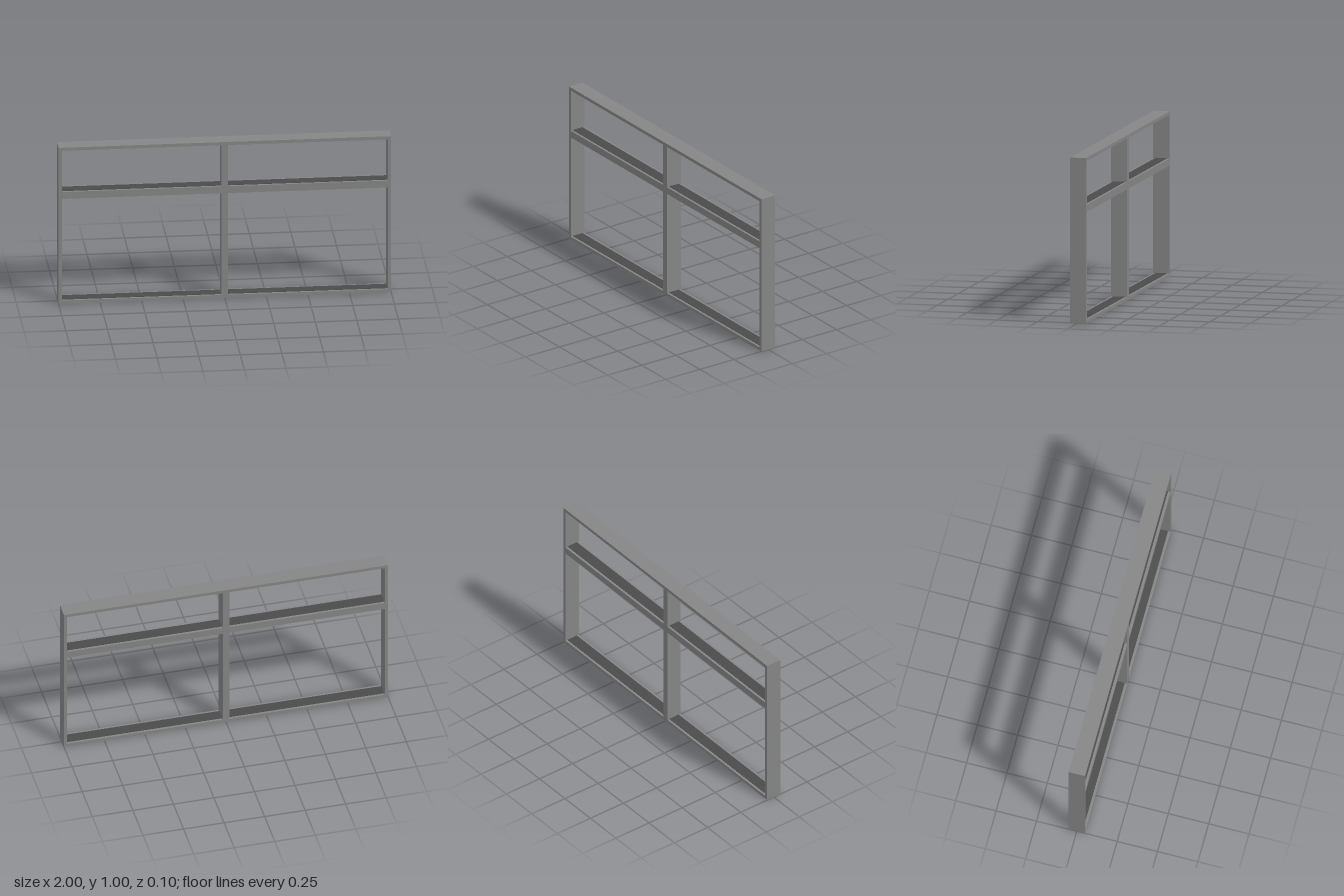
import * as THREE from 'three';

export function createModel() {
  const group = new THREE.Group();
  const frameGrey = new THREE.MeshStandardMaterial({ color: 0x858585 });
  frameGrey.name = 'frame grey';
  const darkGrey = new THREE.MeshStandardMaterial({ color: 0x4b4b4b });
  darkGrey.name = 'dark grey';

  const depth = 0.1, edge = 0.02, mullion = 0.02;
  const rows = [[edge, 0.672], [0.716, 1 - edge]];
  const columns = [[-1 + edge, -mullion], [mullion, 1 - edge]];

  const rectangle = (path, x0, y0, x1, y1) => path
    .moveTo(x0, y0).lineTo(x1, y0).lineTo(x1, y1).lineTo(x0, y1).lineTo(x0, y0);

  // Outer frame, mullion and transom in one piece with four openings
  const outline = new THREE.Shape();
  rectangle(outline, -1, 0, 1, 1);
  for (const [x0, x1] of columns) {
    for (const [y0, y1] of rows) {
      const hole = new THREE.Path();
      rectangle(hole, x0, y0, x1, y1);
      outline.holes.push(hole);
    }
  }
  const geometry = new THREE.ExtrudeGeometry(outline, { depth, bevelEnabled: false });
  geometry.translate(0, 0, -depth / 2);
  const frame = new THREE.Mesh(geometry, frameGrey);
  frame.name = 'windowFrame';
  group.add(frame);

  // Dark glazing strips on the sills and heads of each opening
  const thickness = 0.002;
  for (const [x0, x1] of columns) {
    for (const [y0, y1] of rows) {
      for (const [name, y] of [['sillStrip', y0 + thickness / 2], ['headStrip', y1 - thickness / 2]]) {
        const strip = new THREE.Mesh(new THREE.BoxGeometry(x1 - x0, thickness, 0.07), darkGrey);
        strip.name = name;
        strip.position.set((x0 + x1) / 2, y, 0);
        group.add(strip);
      }
    }
  }
  return group;
}
